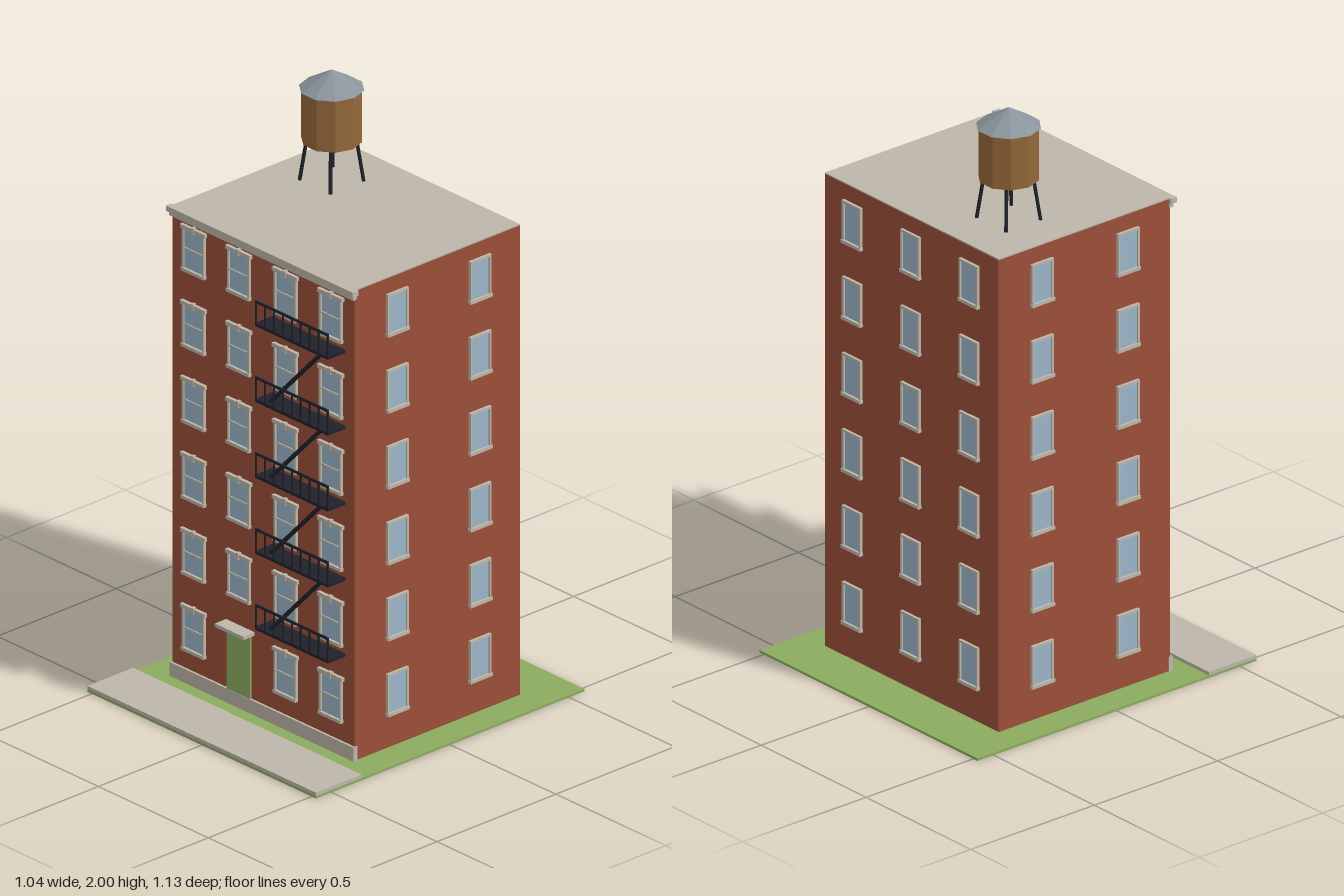
import * as THREE from 'three';

const mat = (name, color) => {
  const m = new THREE.MeshStandardMaterial({ color });
  m.name = name;
  return m;
};

export function createModel() {
  const brick = mat('brick', 0x9c4e3a);
  const stone = mat('stone', 0xbdb7aa);
  const green = mat('green', 0x8cab60);
  const glass = mat('glass', 0x9bb5c9);
  const iron = mat('iron', 0x20212b);
  const wood = mat('wood', 0x94683a);
  const zinc = mat('zinc', 0x8a949c);
  wood.flatShading = zinc.flatShading = true;

  const model = new THREE.Group();
  model.name = 'apartmentBuilding';

  const group = (name, parent = model) => {
    const g = new THREE.Group();
    g.name = name;
    parent.add(g);
    return g;
  };
  // Box given by its extents on each axis
  const box = (name, m, [x0, x1], [y0, y1], [z0, z1], parent = model) => {
    const mesh = new THREE.Mesh(new THREE.BoxGeometry(x1 - x0, y1 - y0, z1 - z0), m);
    mesh.position.set((x0 + x1) / 2, (y0 + y1) / 2, (z0 + z1) / 2);
    mesh.name = name;
    parent.add(mesh);
    return mesh;
  };
  // Round bar between two points
  const bar = (name, m, a, b, r, parent) => {
    const dir = b.clone().sub(a);
    const mesh = new THREE.Mesh(new THREE.CylinderGeometry(r, r, dir.length(), 6), m);
    mesh.position.copy(a).add(b).multiplyScalar(0.5);
    mesh.quaternion.setFromUnitVectors(new THREE.Vector3(0, 1, 0), dir.normalize());
    mesh.name = name;
    parent.add(mesh);
  };

  const W = 0.415, FRONT = 0.305, BACK = -0.39, TOP = 1.62, FLOOR = 0.26;

  // Ground
  box('lawn', green, [-0.52, 0.52], [0, 0.008], [-0.565, 0.565]);
  box('sidewalk', stone, [-0.52, 0.52], [0.008, 0.02], [0.373, 0.565]);

  // Building shell
  box('walls', brick, [-W, W], [0.008, TOP - 0.004], [BACK, FRONT]);
  box('roof', stone, [-W, W], [TOP - 0.004, TOP], [BACK, FRONT]);
  box('plinth', stone, [-0.418, 0.418], [0.008, 0.056], [0.297, 0.313]);
  box('corniceLower', stone, [-0.418, 0.418], [1.587, 1.602], [0.299, 0.315]);
  box('corniceUpper', stone, [-0.425, 0.425], [1.602, TOP], [0.299, 0.323]);

  // Entrance
  box('door', green, [-0.16, -0.054], [0.056, 0.275], [FRONT, FRONT + 0.007]);
  box('doorCanopy', stone, [-0.17, -0.04], [0.276, 0.288], [FRONT, 0.353]);

  // Windows, built facing +z around their centre
  const frameGeometry = (w, h, t) => {
    const rect = (P, x, y) => {
      const p = new P();
      p.moveTo(-x, -y);
      p.lineTo(x, -y);
      p.lineTo(x, y);
      p.lineTo(-x, y);
      p.closePath();
      return p;
    };
    const s = rect(THREE.Shape, w / 2, h / 2);
    s.holes.push(rect(THREE.Path, w / 2 - t, h / 2 - t));
    return new THREE.ExtrudeGeometry(s, { depth: 0.01, bevelEnabled: false });
  };
  const frontFrame = frameGeometry(0.1, 0.15, 0.008);
  const sideFrame = frameGeometry(0.088, 0.142, 0.008);

  const addWindow = (x, y, z, turn, ornate) => {
    const g = group(ornate ? 'frontWindow' : 'plainWindow');
    const w = ornate ? 0.1 : 0.088, h = ornate ? 0.15 : 0.142;
    box('pane', glass, [-w / 2 + 0.004, w / 2 - 0.004], [-h / 2 + 0.004, h / 2 - 0.004], [0, 0.004], g);
    const frame = new THREE.Mesh(ornate ? frontFrame : sideFrame, stone);
    frame.name = 'windowFrame';
    g.add(frame);
    box('sill', stone, [-w / 2 - 0.002, w / 2 + 0.002], [-h / 2 - 0.003, -h / 2 + 0.008], [0, 0.013], g);
    if (ornate) {
      box('sashBar', stone, [-0.044, 0.044], [-0.003, 0.003], [0, 0.008], g);
      box('lintel', stone, [-0.056, 0.056], [0.066, 0.079], [0, 0.012], g);
      box('keystone', stone, [-0.006, 0.006], [0.062, 0.083], [0, 0.014], g);
    }
    g.position.set(x, y, z);
    g.rotation.y = turn;
  };

  for (let i = 0; i < 6; i++) {
    const y = 0.197 + i * FLOOR;
    [-0.312, -0.106, 0.106, 0.312].forEach((x, c) => {
      if (i > 0 || c !== 1) addWindow(x, y, FRONT, 0, true);
    });
    for (const x of [-0.279, 0, 0.279]) addWindow(x, y - 0.005, BACK, Math.PI, false);
    for (const z of [-0.218, 0.13]) {
      for (const s of [-1, 1]) addWindow(s * W, y - 0.005, z, s * Math.PI / 2, false);
    }
  }

  // Fire escape: landings, railings and stairs
  const escape = group('fireEscape');
  const X0 = 0.041, X1 = 0.373, Z1 = 0.379;
  for (let i = 0; i < 5; i++) {
    const y = 0.355 + i * FLOOR;
    box('landing', iron, [X0, X1], [y - 0.005, y + 0.005], [FRONT, Z1], escape);
    box('handrail', iron, [X0, X1], [y + 0.074, y + 0.082], [Z1 - 0.005, Z1], escape);
    for (let k = 0; k < 9; k++) {
      const x = X0 + 0.003 + (k / 8) * (X1 - X0 - 0.006);
      box('railPost', iron, [x - 0.003, x + 0.003], [y, y + 0.08], [Z1 - 0.004, Z1], escape);
    }
    if (i < 4) {
      bar('stair', iron, new THREE.Vector3(0.083, y, 0.355),
        new THREE.Vector3(0.328, y + FLOOR, 0.355), 0.007, escape);
    }
  }

  // Rooftop water tank
  const tank = group('waterTank');
  tank.position.set(-0.209, 0, -0.175);
  const drum = new THREE.Mesh(new THREE.CylinderGeometry(0.096, 0.096, 0.18, 10), wood);
  drum.position.y = 1.85;
  drum.name = 'tankBarrel';
  const cap = new THREE.Mesh(new THREE.ConeGeometry(0.103, 0.062, 10), zinc);
  cap.position.y = 1.969;
  cap.name = 'tankRoof';
  drum.rotation.y = cap.rotation.y = Math.PI / 2;
  tank.add(drum, cap);
  for (const sx of [-1, 1]) {
    for (const sz of [-1, 1]) {
      bar('tankLeg', iron, new THREE.Vector3(sx * 0.07, TOP, sz * 0.07),
        new THREE.Vector3(sx * 0.054, 1.765, sz * 0.054), 0.006, tank);
    }
  }

  return model;
}
